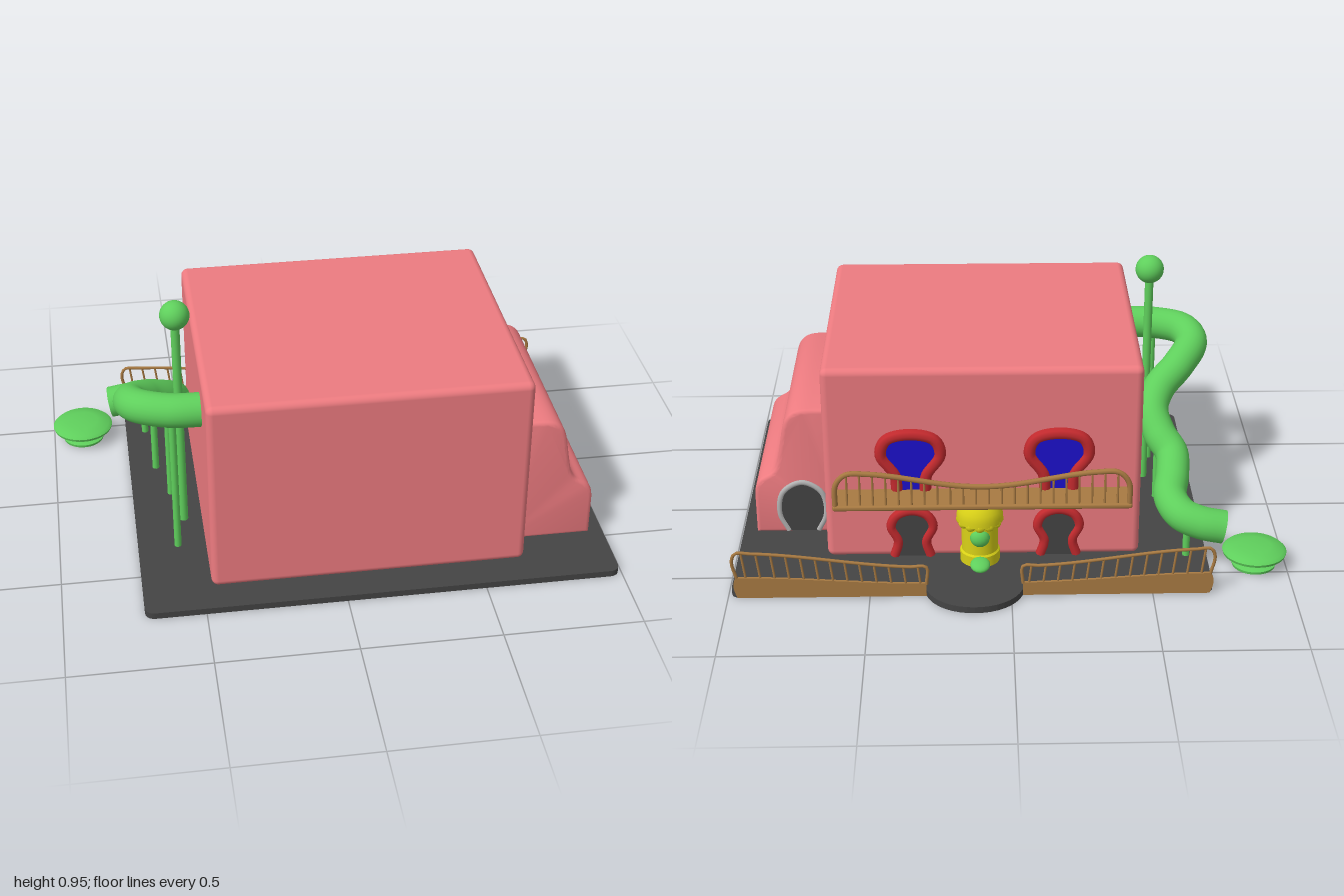
import * as THREE from 'three';
import { toCreasedNormals } from 'three/addons/utils/BufferGeometryUtils.js';
import { RoundedBoxGeometry } from 'three/addons/geometries/RoundedBoxGeometry.js';

const paint = (color, side = THREE.FrontSide) => new THREE.MeshStandardMaterial({ color, side });
const pink = paint(0xed7b80), dark = paint(0x444444), brown = paint(0xa87a42), red = paint(0xc42a2e),
  blue = paint(0x1c10cc), yellow = paint(0xd9d117), grey = paint(0xb4b4b4),
  green = paint(0x5fcf5c), greenOpen = paint(0x5fcf5c, THREE.DoubleSide);
const v3 = (p) => new THREE.Vector3(...p);
const v2 = (p) => new THREE.Vector2(...p);

export function createModel() {
  const root = new THREE.Group();

  function add(name, geometry, material, x = 0, y = 0, z = 0, parent = root) {
    const mesh = new THREE.Mesh(geometry, material);
    mesh.name = name;
    mesh.position.set(x, y, z);
    parent.add(mesh);
    return mesh;
  }
  function group(name, x = 0, y = 0, z = 0) {
    const g = new THREE.Group();
    g.name = name;
    g.position.set(x, y, z);
    root.add(g);
    return g;
  }
  const tube = (points, radius, segments = 40, sides = 10) =>
    new THREE.TubeGeometry(new THREE.CatmullRomCurve3(points.map(v3)), segments, radius, sides);
  const lathe = (points, n = 32) => toCreasedNormals(new THREE.LatheGeometry(points.map(v2), n), 0.6);

  // Ground slab with rounded corners and a rounded doorstep at the back
  const slab = new THREE.Shape();
  const [x0, x1, y0, y1, r] = [-0.715, 0.99, -0.74, 0.635, 0.04];
  slab.moveTo(x0 + r, y0);
  slab.lineTo(x1 - r, y0);
  slab.quadraticCurveTo(x1, y0, x1, y0 + r);
  slab.lineTo(x1, y1 - r);
  slab.quadraticCurveTo(x1, y1, x1 - r, y1);
  slab.lineTo(0.3, y1);
  slab.bezierCurveTo(0.25, 0.79, 0.01, 0.79, -0.04, y1);
  slab.lineTo(x0 + r, y1);
  slab.quadraticCurveTo(x0, y1, x0, y1 - r);
  slab.lineTo(x0, y0 + r);
  slab.quadraticCurveTo(x0, y0, x0 + r, y0);
  const slabGeo = new THREE.ExtrudeGeometry(slab, { depth: 0.024, bevelEnabled: false, curveSegments: 16 });
  add('groundSlab', slabGeo.rotateX(-Math.PI / 2), dark);

  // Main house block
  add('house', new RoundedBoxGeometry(1.135, 0.75, 1.012, 4, 0.025), pink, 0.0975, 0.393, 0.114);

  // Side annex with an S-curved roof
  const annex = new THREE.Shape();
  annex.moveTo(0.62, 0.035);
  annex.lineTo(0.925, 0.035);
  annex.lineTo(0.925, 0.18);
  annex.bezierCurveTo(0.92, 0.27, 0.85, 0.21, 0.832, 0.33);
  annex.bezierCurveTo(0.805, 0.47, 0.82, 0.51, 0.72, 0.51);
  annex.lineTo(0.62, 0.51);
  const annexGeo = new THREE.ExtrudeGeometry(annex, {
    depth: 0.68, curveSegments: 16, bevelSize: 0.015, bevelThickness: 0.015, bevelSegments: 3,
  });
  add('annex', toCreasedNormals(annexGeo, 0.7), pink, 0, 0, -0.195);

  // Framed openings: a bulb-topped outline, filled and edged with a tube
  function opening(name, half, frame, fill, x, y, z, thick) {
    const g = group(name, x, y, z);
    const right = half.map(([px, py]) => [px, py, 0]);
    const left = half.slice(0, -1).reverse().map(([px, py]) => [-px, py, 0]);
    const path = [...right, ...left];
    const outline = new THREE.CatmullRomCurve3(path.map(v3)).getPoints(40).map((p) => new THREE.Vector2(p.x, p.y));
    const panel = add(name + 'Panel', new THREE.ShapeGeometry(new THREE.Shape(outline)), fill, 0, 0, -0.006, g);
    panel.rotation.y = Math.PI;
    add(name + 'Frame', tube(path, thick, 48, 8), frame, 0, 0, 0, g);
  }
  const windowHalf = [[0.05, 0], [0.055, 0.06], [0.105, 0.14], [0.085, 0.2], [0, 0.222]];
  const doorHalf = [[0.065, 0], [0.05, 0.06], [0.075, 0.12], [0.055, 0.165], [0, 0.185]];
  for (const x of [-0.175, 0.355]) {
    opening('window', windowHalf, red, blue, x, 0.295, -0.392, 0.022);
    opening('door', doorHalf, red, dark, x, 0.024, -0.392, 0.018);
  }
  opening('annexDoor', [[0.055, 0], [0.085, 0.07], [0.07, 0.16], [0, 0.2]], grey, dark, 0.765, 0.03, -0.208, 0.011);

  // Balusters between a lower and an upper height rule
  function balusters(parent, from, to, count, z, low, high, lean) {
    for (let i = 0; i < count; i++) {
      const x = from + (to - from) * ((i + 0.5) / count);
      const a = low(x), b = high(x);
      const post = add('baluster', new THREE.CylinderGeometry(0.0045, 0.0045, b - a, 6), brown, x, (a + b) / 2, z, parent);
      post.rotation.z = lean;
    }
  }

  // Balcony with a wavy handrail
  const balcony = group('balcony', 0.1);
  add('balconyFloor', new RoundedBoxGeometry(1.06, 0.02, 0.15, 2, 0.008), brown, 0, 0.288, -0.445, balcony);
  const railY = (x) => 0.395 - 0.028 * Math.cos(Math.min(Math.abs(x) / 0.46, 1) * Math.PI);
  const rail = [[-0.52, 0.295, -0.507], [-0.515, 0.38, -0.507]];
  for (let i = -6; i <= 6; i++) rail.push([i * 0.08, railY(i * 0.08) - (Math.abs(i) === 6 ? 0.004 : 0), -0.507]);
  rail.push([0.515, 0.38, -0.507], [0.52, 0.295, -0.507]);
  add('balconyRail', tube(rail, 0.01, 90, 8), brown, 0, 0, 0, balcony);
  balusters(balcony, -0.5, 0.5, 22, -0.507, () => 0.295, railY, 0);

  // Rear fences, rising toward the outer corners
  for (const side of [-1, 1]) {
    const fence = group('fence');
    const inner = side > 0 ? 0.3 : -0.04, outer = side > 0 ? 0.965 : -0.7;
    const t = (x) => (x - inner) / (outer - inner);
    const ease = (x) => THREE.MathUtils.smoothstep(t(x), 0, 1);
    const low = (x) => 0.055 + 0.03 * ease(x), high = (x) => 0.12 + 0.062 * ease(x);
    const board = new THREE.Shape();
    const xs = Array.from({ length: 13 }, (_, i) => inner + (outer - inner) * i / 12);
    board.moveTo(inner, 0.004);
    xs.forEach((x) => board.lineTo(x, low(x)));
    board.quadraticCurveTo(outer + side * 0.025, 0.06, outer, 0.004);
    add('fenceBoard', new THREE.ExtrudeGeometry(board, { depth: 0.01, bevelEnabled: false }), brown, 0, 0, -0.642, fence);
    const top = xs.map((x) => [x, high(x), -0.637]);
    top.push([outer + side * 0.014, 0.15, -0.637], [outer, 0.08, -0.637]);
    add('fenceRail', tube([[inner, 0.05, -0.637], ...top], 0.006, 60, 8), brown, 0, 0, 0, fence);
    balusters(fence, inner, outer, 13, -0.637, low, high, -side * 0.12);
  }

  // Yellow domed post with scalloped rim and a green spout
  const post = group('domedPost', 0.11, 0.024, -0.415);
  add('postBody', lathe([[0, 0], [0.072, 0], [0.072, 0.04], [0.066, 0.046], [0.066, 0.165], [0.084, 0.165],
    [0.084, 0.185], [0.079, 0.21], [0.06, 0.237], [0.035, 0.252], [0, 0.257]]), yellow, 0, 0, 0, post);
  for (let i = 0; i < 12; i++) {
    const a = i * Math.PI / 6;
    add('scallop', new THREE.SphereGeometry(0.02, 10, 8), yellow, 0.066 * Math.cos(a), 0.163, 0.066 * Math.sin(a), post);
  }
  add('greenKnob', new THREE.SphereGeometry(0.036, 16, 12), green, 0, 0.115, -0.055, post).scale.z = 0.8;
  const spout = add('greenSpout', new THREE.SphereGeometry(0.04, 16, 12), green, 0, 0.026, -0.095, post);
  spout.scale.set(0.9, 0.45, 1);
  spout.rotation.x = -0.2;

  // Winding tube slide
  const slide = group('slide');
  add('slideTube', tube([[-0.44, 0.612, 0.37], [-0.57, 0.612, 0.362], [-0.68, 0.607, 0.31], [-0.708, 0.585, 0.235],
    [-0.65, 0.535, 0.135], [-0.57, 0.475, 0.055], [-0.54, 0.42, -0.02], [-0.565, 0.355, -0.09], [-0.605, 0.305, -0.15],
    [-0.6, 0.26, -0.24], [-0.585, 0.22, -0.33], [-0.62, 0.19, -0.405], [-0.69, 0.17, -0.435], [-0.77, 0.155, -0.44]],
  0.061, 110, 24), greenOpen, 0, 0, 0, slide);
  const supports = [[-0.57, 0.36, 0.6], [-0.57, 0.03, 0.44], [-0.615, -0.15, 0.28], [-0.64, -0.41, 0.17]];
  for (const [x, z, h] of supports)
    add('slideSupport', new THREE.CylinderGeometry(0.013, 0.013, h, 12), green, x, h / 2 + 0.01, z, slide);
  add('mast', new THREE.CylinderGeometry(0.016, 0.016, 0.86, 16), green, -0.535, 0.445, 0.2, slide);
  add('mastBall', new THREE.SphereGeometry(0.053, 28, 20), green, -0.535, 0.9, 0.2, slide);

  // Round landing pad at the foot of the slide
  add('landingPad', lathe([[0, 0], [0.078, 0], [0.08, 0.01], [0.055, 0.018], [0.055, 0.032], [0.085, 0.036],
    [0.113, 0.05], [0.116, 0.06], [0.105, 0.07], [0.06, 0.078], [0, 0.08]], 40), greenOpen, -0.885, 0, -0.44);

  return root;
}
